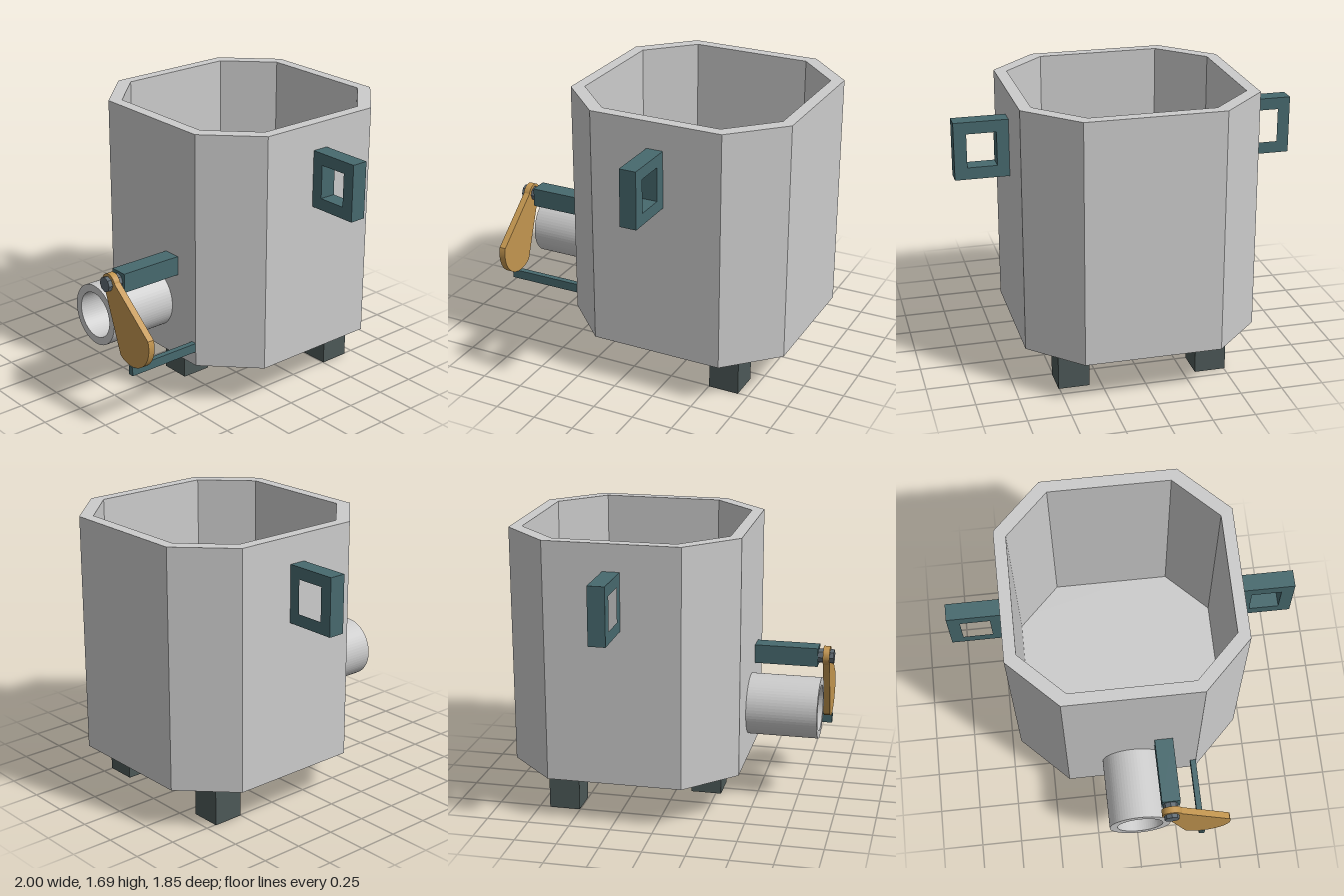
import * as THREE from 'three';

const paint = (color) => new THREE.MeshStandardMaterial({ color, flatShading: true });
const grey = paint(0xcccccc);
const teal = paint(0x47696e);
const dark = paint(0x4c5857);
const steel = paint(0x5f6a72);
const brass = paint(0xc2954f);

// Rectangle with cut corners, as a list of points
function octagon(half, cut) {
  const a = half, b = half - cut;
  return [[a, -b], [a, b], [b, a], [-b, a], [-a, b], [-a, -b], [-b, -a], [b, -a]]
    .map(([x, y]) => new THREE.Vector2(x, y));
}

function extrude(shape, depth, curveSegments = 16) {
  return new THREE.ExtrudeGeometry(shape, { depth, bevelEnabled: false, curveSegments });
}

function rect(x0, y0, x1, y1) {
  return [[x0, y0], [x1, y0], [x1, y1], [x0, y1]].map(([x, y]) => new THREE.Vector2(x, y));
}

export function createModel() {
  const model = new THREE.Group();
  model.name = 'pot';

  function add(name, geometry, material, x = 0, y = 0, z = 0, parent = model) {
    const mesh = new THREE.Mesh(geometry, material);
    mesh.name = name;
    mesh.position.set(x, y, z);
    parent.add(mesh);
    return mesh;
  }

  // Box given by its two extreme corners
  function addBox(name, material, [x0, y0, z0], [x1, y1, z1], parent) {
    return add(name, new THREE.BoxGeometry(x1 - x0, y1 - y0, z1 - z0), material,
      (x0 + x1) / 2, (y0 + y1) / 2, (z0 + z1) / 2, parent);
  }

  // Vessel: octagonal wall on a solid floor
  const vessel = new THREE.Group();
  vessel.name = 'vessel';
  vessel.position.z = -0.24;
  model.add(vessel);
  const wall = new THREE.Shape(octagon(0.685, 0.285));
  wall.holes.push(new THREE.Path(octagon(0.615, 0.255)));
  add('wall', extrude(wall, 1.36).rotateX(-Math.PI / 2), grey, 0, 0.33, 0, vessel);
  const floor = new THREE.Shape(octagon(0.685, 0.285));
  add('floor', extrude(floor, 0.07).rotateX(-Math.PI / 2), grey, 0, 0.26, 0, vessel);

  // Three feet: one in front, two behind
  for (const [name, x, z] of [['frontFoot', 0, 0.19], ['leftBackFoot', 0.413, -0.595], ['rightBackFoot', -0.413, -0.595]]) {
    add(name, new THREE.BoxGeometry(0.185, 0.26, 0.185), dark, x, 0.13, z);
  }

  // Square loop handles on both sides
  for (const side of [1, -1]) {
    const loop = new THREE.Shape(rect(side * 0.685, 1.19, side, 1.53));
    loop.holes.push(new THREE.Path(rect(side * 0.755, 1.26, side * 0.927, 1.46)));
    add(side > 0 ? 'leftHandle' : 'rightHandle', extrude(loop, 0.1), teal, 0, 0, -0.29);
  }

  // Spout pipe
  const ring = new THREE.Shape().absarc(0, 0, 0.185, 0, Math.PI * 2);
  ring.holes.push(new THREE.Path().absarc(0, 0, 0.138, 0, Math.PI * 2));
  add('spout', extrude(ring, 0.43, 32), grey, 0, 0.575, 0.44);

  // Bracket, pivot pin and lower stop for the lid
  addBox('pivotBracket', teal, [0.13, 0.79, 0.44], [0.24, 0.905, 0.83]);
  const pin = new THREE.CylinderGeometry(0.045, 0.045, 0.1, 8).rotateX(Math.PI / 2);
  add('pivotPin', pin, steel, 0.18, 0.848, 0.875);
  addBox('lidStop', teal, [0.365, 0.35, 0.44], [0.4, 0.405, 0.905]);

  // Drop-shaped swinging lid: two arcs joined by their outer tangents
  const small = { x: 0.184, y: 0.848, r: 0.06 };
  const big = { x: 0.38, y: 0.572, r: 0.168 };
  const dx = big.x - small.x, dy = big.y - small.y;
  const aim = Math.atan2(dy, dx);
  const spread = Math.acos((small.r - big.r) / Math.hypot(dx, dy));
  // the wide end faces along aim, the narrow end the other way
  const open = Math.PI - spread;
  const drop = new THREE.Shape();
  drop.absarc(big.x, big.y, big.r, aim - Math.PI + spread, aim + open);
  drop.absarc(small.x, small.y, small.r, aim + open, aim + Math.PI * 2 - open);
  drop.closePath();
  add('spoutLid', extrude(drop, 0.04, 24), brass, 0, 0, 0.86);

  return model;
}
